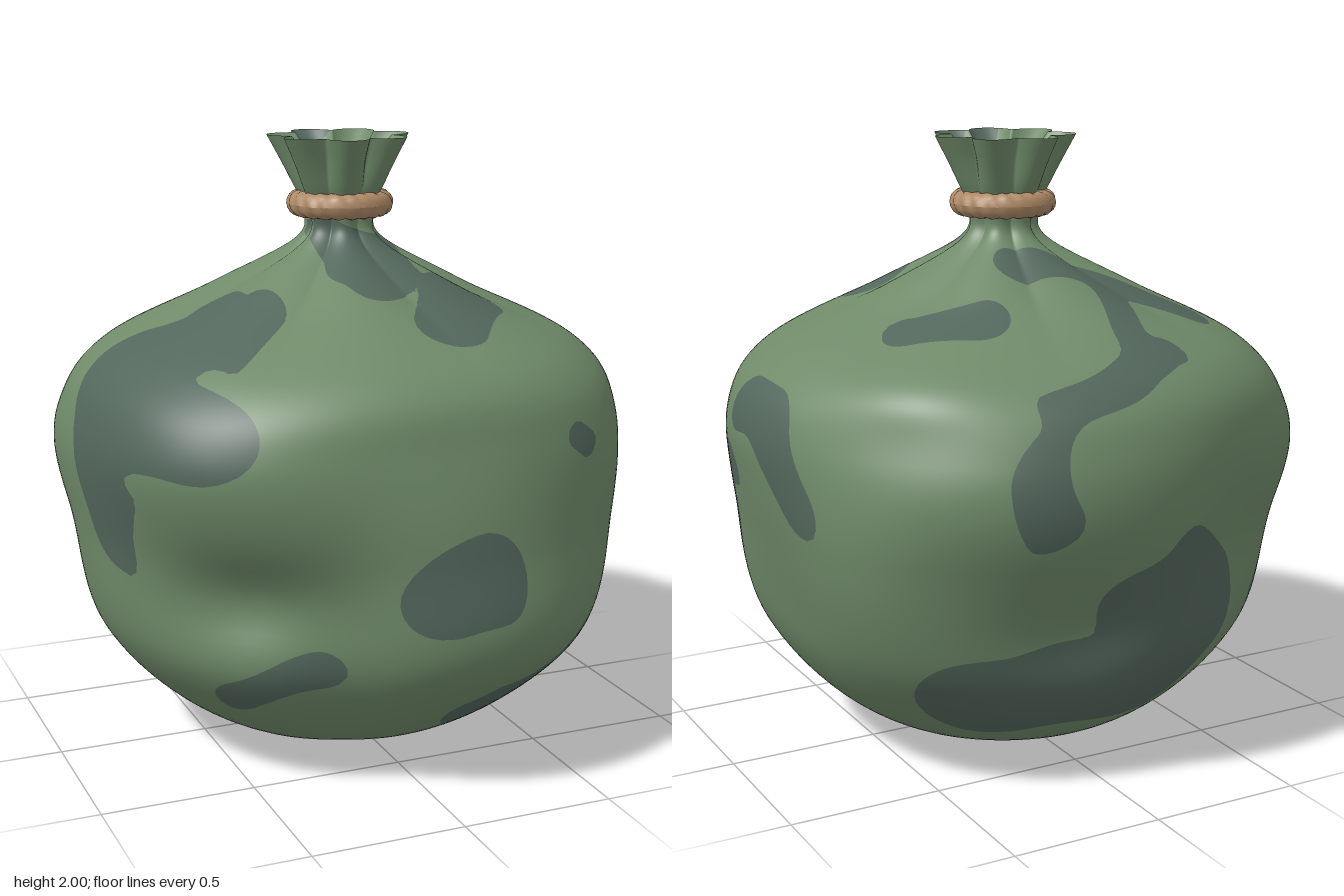
import * as THREE from 'three';

const SEG = 182;
const PLEATS = 7;
const RAD = Math.PI / 180;

// Outer cloth profile (radius, height) from base to rim, and the inside of the gathered top
const SACK = [[0, 0], [.47, .08], [.82, .4], [.895, .8], [.9, 1.12], [.79, 1.32], [.43, 1.51], [.15, 1.66],
  [.122, 1.76], [.165, 1.86], [.24, 2]];
const FUNNEL = [[.24, 2], [.13, 1.915], [0, 1.875]];

// Bulges and dents: angle from +x towards +z, height, angular width, height width, amount
const LUMPS = [
  [72, .5, 28, .28, .085], [90, 1.15, 25, .22, -.05], [112, .5, 14, .35, -.06], [132, .64, 18, .16, -.1],
  [143, 1.1, 24, .22, .06], [208, 1, 25, .25, .06], [240, .7, 18, .35, -.05], [280, .53, 22, .2, -.09],
  [300, 1, 25, .25, .06], [325, .75, 18, .28, .05], [315, 1.34, 18, .1, .06], [315, 1.5, 40, .09, -.08],
  [0, 1.15, 25, .18, .03], [353, .5, 20, .25, -.05], [42, .9, 18, .35, .03],
];

// Camouflage strokes (u1, v1, u2, v2, radius) painted on along one direction
function paint(azimuth, elevation, strokes) {
  const turn = new THREE.Euler(-elevation * RAD, azimuth * RAD, 0, 'YXZ');
  const [right, up, dir] = [[1, 0, 0], [0, 1, 0], [0, 0, 1]].map(v => new THREE.Vector3(...v).applyEuler(turn));
  return { right, up, dir, strokes };
}
const CAMO = [
  paint(0, 0, [ // front
    [0, .69, .13, .74, .14], [-.86, 1.15, -.68, 1.22, .12], [-.56, 1.42, -.36, 1.49, .05],
    [-.53, .35, -.36, .43, .07], [.2, .18, .65, .4, .11], [-.04, 1.64, .08, 1.62, .09], [.46, 1.12, .51, 1.07, .04],
  ]),
  paint(90, 0, [ // +x side
    [-.45, .94, -.17, .95, .08], [-.37, .85, -.45, .45, .12], [-.7, .3, -.15, .16, .15],
    [-.03, 1.17, .13, 1.18, .09], [.18, 1.13, .3, .95, .1],
  ]),
  paint(0, 90, [ // top
    [.28, .83, -.25, .68, .055], [-.15, .68, -.17, .35, .06], [-.5, .33, .05, .24, .075], [.31, .37, .48, .29, .1],
    [-.76, -.12, -.62, -.28, .18], [-.48, -.1, -.46, -.33, .07], [.3, -.32, .18, -.52, .12], [-.08, -.22, .12, -.24, .05],
  ]),
  paint(220, 25, [ // back, -x side
    [-.45, .3, -.28, .18, .14], [.14, .1, .5, .32, .08], [.8, 1, .83, .55, .07],
  ]),
  paint(135, -25, [ // back, +x side, from below
    [.15, .62, .6, .52, .19], [.6, .85, .68, .6, .12], [.37, 1.38, .42, 1.2, .08], [-.72, .45, -.3, .02, .12],
  ]),
];

// Signed field: below zero is a dark patch
function camo(p, n) {
  const q = new THREE.Vector3(p.x + .025 * Math.sin(11 * p.y + 7 * p.z), p.y + .025 * Math.sin(12 * p.x + 5 * p.z),
    p.z + .025 * Math.sin(11 * p.y - 8 * p.x));
  let f = 1;
  for (const { right, up, dir, strokes } of CAMO) {
    const hidden = Math.max(0, .15 - n.dot(dir)) * .9;
    const u = q.dot(right), v = q.dot(up);
    for (const [a, b, c, d, r] of strokes) {
      const dx = c - a, dy = d - b;
      const t = THREE.MathUtils.clamp(((u - a) * dx + (v - b) * dy) / (dx * dx + dy * dy), 0, 1);
      const s = Math.hypot(u - a - dx * t, v - b - dy * t) - r + hidden;
      const h = Math.max(0, 1 - Math.abs(f - s) / .05);
      f = Math.min(f, s) - h * h * .0125;
    }
  }
  return f;
}

// Pleated, lumpy point of the cloth
function clothPoint(r, y, th) {
  let k = 1;
  for (const [angle, h, wa, wh, amount] of LUMPS) {
    const da = ((th / RAD - angle + 540) % 360) - 180;
    k += amount / .9 * Math.exp(-((da / wa) ** 2) - ((y - h) / wh) ** 2);
  }
  const depth = .16 * THREE.MathUtils.smoothstep(y, 1.3, 1.65) + .14 * THREE.MathUtils.smoothstep(y, 1.8, 1.95);
  const R = r * k * (1 - depth * (1 - Math.abs(Math.cos(PLEATS * th / 2))));
  return [R * Math.cos(th), y, R * Math.sin(th)];
}

// Revolved cloth sheet, cut along the patch borders into two material groups
function clothSheet(profile, rows) {
  const pts = new THREE.SplineCurve(profile.map(p => new THREE.Vector2(...p))).getPoints(rows);
  const pos = [], index = [];
  pts.forEach((p, i) => {
    for (let j = 0; j < SEG; j++) {
      pos.push(...clothPoint(Math.max(p.x, 0), p.y, j / SEG * 2 * Math.PI));
      if (i === rows) continue;
      const a = i * SEG + j, c = i * SEG + (j + 1) % SEG;
      index.push(a, a + SEG, c, a + SEG, c + SEG, c);
    }
  });
  const grid = new THREE.BufferGeometry();
  grid.setAttribute('position', new THREE.Float32BufferAttribute(pos, 3));
  grid.setIndex(index);
  grid.computeVertexNormals();
  const verts = [];
  for (let i = 0; i < pos.length / 3; i++) {
    const p = new THREE.Vector3().fromBufferAttribute(grid.attributes.position, i);
    const n = new THREE.Vector3().fromBufferAttribute(grid.attributes.normal, i);
    verts.push({ p, n, f: camo(p, n) });
  }
  const outP = [], outN = [], geo = new THREE.BufferGeometry();
  for (const side of [1, -1]) {
    const start = outP.length / 3;
    for (let t = 0; t < index.length; t += 3) {
      const poly = [];
      for (let e = 0; e < 3; e++) {
        const A = verts[index[t + e]], B = verts[index[t + (e + 1) % 3]];
        if (A.f * side >= 0) poly.push(A);
        if (A.f * B.f < 0) {
          const w = A.f / (A.f - B.f);
          poly.push({ p: A.p.clone().lerp(B.p, w), n: A.n.clone().lerp(B.n, w).normalize() });
        }
      }
      for (let m = 1; m + 1 < poly.length; m++) {
        for (const c of [poly[0], poly[m], poly[m + 1]]) {
          outP.push(c.p.x, c.p.y, c.p.z);
          outN.push(c.n.x, c.n.y, c.n.z);
        }
      }
    }
    geo.addGroup(start, outP.length / 3 - start, side > 0 ? 0 : 1);
  }
  geo.setAttribute('position', new THREE.Float32BufferAttribute(outP, 3));
  geo.setAttribute('normal', new THREE.Float32BufferAttribute(outN, 3));
  return geo;
}

// Twisted three-strand ring
function ropeRing(radius, tube) {
  const geo = new THREE.TorusGeometry(radius, tube, 18, 160);
  const p = geo.attributes.position;
  for (let i = 0; i < p.count; i++) {
    const x = p.getX(i), y = p.getY(i), z = p.getZ(i);
    const th = Math.atan2(y, x), d = Math.hypot(x, y) - radius;
    const s = 1 + .06 * Math.cos(3 * Math.atan2(z, d) + 20 * th);
    const R = radius + d * s;
    p.setXYZ(i, R * Math.cos(th), R * Math.sin(th), z * s);
  }
  geo.computeVertexNormals();
  return geo.rotateX(-Math.PI / 2);
}

export function createModel() {
  const mat = (name, color) => Object.assign(new THREE.MeshStandardMaterial({ color }), { name });
  const cloth = [mat('green cloth', 0x6f8a69), mat('dark green patches', 0x53675c)];

  const group = new THREE.Group();
  group.name = 'tiedSack';
  const add = (name, geo, material) => {
    const mesh = new THREE.Mesh(geo, material);
    mesh.name = name;
    group.add(mesh);
    return mesh;
  };
  add('sackCloth', clothSheet(SACK, 130), cloth);
  add('gatheredTopInside', clothSheet(FUNNEL, 16), cloth);
  add('rope', ropeRing(.133, .041), mat('tan rope', 0xad8966)).position.y = 1.78;
  return group;
}
